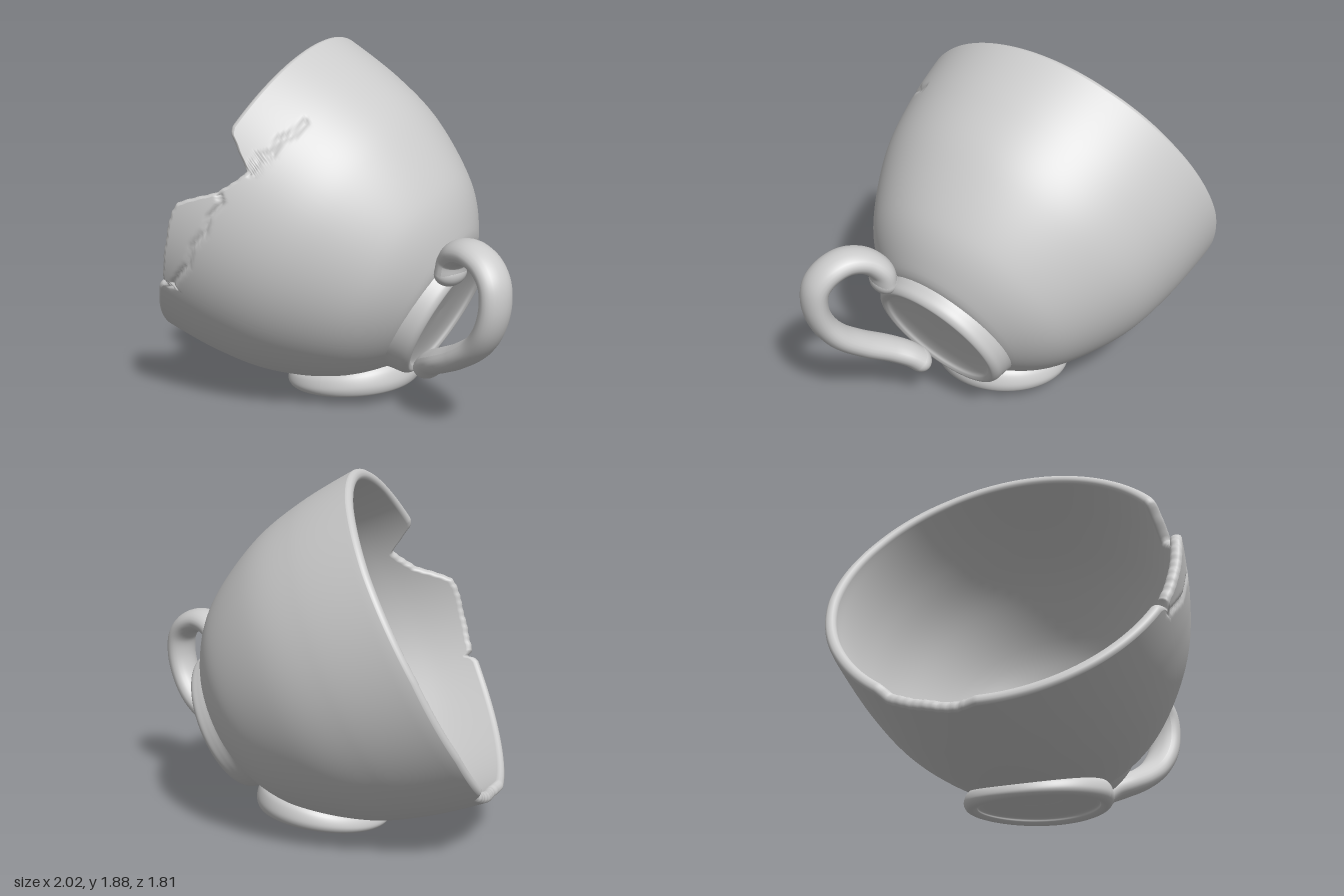
import * as THREE from 'three';

const material = new THREE.MeshStandardMaterial({ color: 0xcccccc, side: THREE.DoubleSide });

function mesh(name, geometry) {
  const m = new THREE.Mesh(geometry, material);
  m.name = name;
  return m;
}

const vectors = (list) => list.map(([x, y]) => new THREE.Vector2(x, y));

// Bowl wall: [radius, distance from rim plane along the cup axis]
const wall = new THREE.SplineCurve(vectors([
  [0.9, -0.12], [0.903, 0], [0.868, 0.33], [0.79, 0.63], [0.617, 0.95], [0.435, 1.12], [0.3, 1.168], [0, 1.172],
]));
const WALL_LENGTH = wall.getLength();
const THICKNESS = 0.058;
const RIM_SKEW = 0.04; // the rim plane leans slightly against the axis
const OVAL = 0.014; // the bowl is a little taller than wide

// Broken rim: [angle in degrees, depth of the edge below the rim plane]
const rimEdge = [
  [0, 0.012], [51, 0.012], [53, 0.025], [60, 0.2], [63, 0.185], [67, 0.16], [71, 0.125], [75, 0.06], [81, -0.03],
  [84, -0.04], [94, -0.015], [101, 0.005], [108, 0.02], [109.5, 0.03], [110.5, 0.07], [112, 0.025], [114, 0.012],
  [178, 0.005], [184, 0.04], [196, 0.035], [208, 0.045], [212, 0], [235, -0.03], [265, -0.03], [300, 0], [330, 0.012],
  [360, 0.012],
];

// Cracks in the same coordinates
const cracks = [
  [[60, 0.2], [55, 0.2], [51, 0.235], [46, 0.225], [42, 0.26], [36, 0.27]],
  [[71, 0.125], [73, 0.155], [79, 0.13], [84, 0.145], [91, 0.115], [98, 0.125], [104, 0.095], [110.5, 0.07]],
];

function lookUp(table, x) {
  const i = Math.max(1, table.findIndex((p) => p[0] >= x));
  const [a, b] = [table[i - 1], table[i]];
  return THREE.MathUtils.mapLinear(x, a[0], b[0], a[1], b[1]);
}

// Shortest distance to a crack, measured on the wall
function crackDistance(deg, t) {
  let best = 1;
  const k = 0.0155;
  for (const line of cracks) {
    for (let i = 1; i < line.length; i++) {
      const ax = line[i - 1][0] * k, ay = line[i - 1][1];
      const dx = line[i][0] * k - ax, dy = line[i][1] - ay;
      const px = deg * k - ax, py = t - ay;
      const s = THREE.MathUtils.clamp((px * dx + py * dy) / (dx * dx + dy * dy), 0, 1);
      best = Math.min(best, Math.hypot(px - s * dx, py - s * dy));
    }
  }
  return best;
}

function bowlGeometry() {
  const SEG = 480, OUTER = 80, INNER = 30, LIP = 6;
  const positions = [], indices = [];
  const count = OUTER + INNER + LIP + 1;
  for (let i = 0; i < SEG; i++) {
    const deg = (i / SEG) * 360, angle = THREE.MathUtils.degToRad(deg);
    const broken = (deg > 53 && deg < 112) || (deg > 182 && deg < 210);
    const jag = broken ? 0.004 * Math.sin(deg * 1.3) * Math.sin(deg * 0.7) : 0;
    const skew = RIM_SKEW * Math.sin(angle);
    const oval = 1 + OVAL * Math.cos(angle) ** 2;
    const start = (lookUp(rimEdge, deg) + jag + skew + 0.12) / WALL_LENGTH;
    // offset 0 is the outer skin, 1 the inner skin; bulge rounds the lip
    const place = (v, offset, bulge) => {
      const u = start + (1 - start) * v ** 1.6;
      const p = wall.getPointAt(u), tan = wall.getTangentAt(u);
      let shift = offset * THICKNESS;
      if (offset === 0 && deg > 34 && deg < 112 && p.y < 0.4) {
        shift += 0.018 * Math.exp(-((crackDistance(deg, p.y - skew) / 0.012) ** 2));
      }
      const r = v === 1 ? 0 : oval * Math.max(0, p.x - tan.y * shift - tan.x * bulge);
      positions.push(r * Math.cos(angle), p.y + tan.x * shift - tan.y * bulge, -r * Math.sin(angle));
    };
    for (let j = OUTER; j >= 0; j--) place(j / OUTER, 0, 0);
    for (let j = 1; j < LIP; j++) {
      const a = (j / LIP) * Math.PI;
      place(0, 0.5 - 0.5 * Math.cos(a), 0.022 * Math.sin(a));
    }
    for (let j = 0; j <= INNER; j++) place(j / INNER, 1, 0);
  }
  for (let i = 0; i < SEG; i++) {
    for (let j = 0; j < count - 1; j++) {
      const a = i * count + j, b = ((i + 1) % SEG) * count + j;
      indices.push(a, a + 1, b, b, a + 1, b + 1);
    }
  }
  const g = new THREE.BufferGeometry();
  g.setAttribute('position', new THREE.Float32BufferAttribute(positions, 3));
  g.setIndex(indices);
  g.computeVertexNormals();
  return g;
}

// Smooth turned foot with a shallow dish inside the ring
function footGeometry(profile) {
  const points = new THREE.SplineCurve(vectors(profile)).getPoints(50);
  points.forEach((p) => { p.x = Math.max(0, p.x); });
  return new THREE.LatheGeometry(points, 80);
}

function createStandingFoot() {
  const geometry = footGeometry([
    [0.335, -0.16], [0.37, -0.12], [0.385, -0.06], [0.372, -0.015], [0.345, 0],
    [0.318, -0.012], [0.295, -0.035], [0.15, -0.05], [0, -0.052],
  ]);
  // Lower the ring where the bowl comes closest to the ground, and sag its far edge
  const pos = geometry.attributes.position;
  for (let i = 0; i < pos.count; i++) {
    const x = pos.getX(i);
    pos.setY(i, pos.getY(i) * (0.8 - 0.6 * x) + 0.12 * x * x - 0.008);
  }
  geometry.computeVertexNormals();
  const foot = mesh('standingFoot', geometry);
  foot.rotation.z = Math.PI + 0.1;
  foot.position.set(-0.055, 0.044, -0.01);
  foot.scale.set(0.95, 1, 0.98);
  return foot;
}

function createHandle() {
  const handle = new THREE.Group();
  handle.name = 'handle';
  const path = new THREE.CatmullRomCurve3([
    [0.61, 0.82, 0.22], [0.625, 0.89, 0.225], [0.68, 0.95, 0.27], [0.77, 0.97, 0.32], [0.86, 0.935, 0.36],
    [0.918, 0.86, 0.39], [0.93, 0.75, 0.4], [0.9, 0.63, 0.39], [0.83, 0.52, 0.355], [0.71, 0.425, 0.305],
    [0.58, 0.35, 0.24], [0.5, 0.3, 0.175], [0.46, 0.26, 0.14],
  ].map((p) => new THREE.Vector3(...p)));
  const SEG = 120, SIDES = 24;
  const tube = new THREE.TubeGeometry(path, SEG, 0.065, SIDES);
  // Widen the round section sideways into an oval strap
  const across = new THREE.Vector3(-0.3, 0, 0.954);
  const pos = tube.attributes.position, v = new THREE.Vector3();
  for (let i = 0; i < pos.count; i++) {
    const centre = path.getPointAt(Math.floor(i / (SIDES + 1)) / SEG);
    v.fromBufferAttribute(pos, i).sub(centre);
    v.addScaledVector(across, v.dot(across) * 0.5).add(centre);
    pos.setXYZ(i, v.x, v.y, v.z);
  }
  tube.computeVertexNormals();
  handle.add(mesh('handleStrap', tube));
  // Rounded ends
  for (const [name, u, radius] of [['upperHandleEnd', 0, 0.069], ['lowerHandleEnd', 1, 0.066]]) {
    const end = mesh(name, new THREE.SphereGeometry(radius, 32, 20));
    end.position.copy(path.getPointAt(u));
    end.scale.set(1, 1, 1.4);
    end.rotation.y = -0.3;
    handle.add(end);
  }
  return handle;
}

export function createModel() {
  const model = new THREE.Group();
  model.name = 'brokenCup';

  // Tilted body: local +y runs from the rim towards the base
  const body = new THREE.Group();
  body.name = 'cupBody';
  const axis = new THREE.Vector3(0.9, -0.43, -0.02).normalize();
  const up = new THREE.Vector3(0.431, 0.902, 0).normalize();
  const side = new THREE.Vector3().crossVectors(up, axis);
  body.quaternion.setFromRotationMatrix(new THREE.Matrix4().makeBasis(up, axis, side));
  body.position.set(-0.62, 1.06, 0);
  body.add(mesh('bowl', bowlGeometry()));
  // The base foot sits slightly off the axis
  const baseFoot = mesh('baseFoot', footGeometry([
    [0.43, 1.08], [0.4, 1.135], [0.388, 1.185], [0.378, 1.225], [0.355, 1.246],
    [0.33, 1.24], [0.3, 1.222], [0.2, 1.208], [0, 1.2],
  ]));
  baseFoot.position.x = -0.035;
  body.add(baseFoot);
  model.add(body);

  // Second foot, under the side on which the cup stands
  model.add(createStandingFoot());
  model.add(createHandle());
  return model;
}
